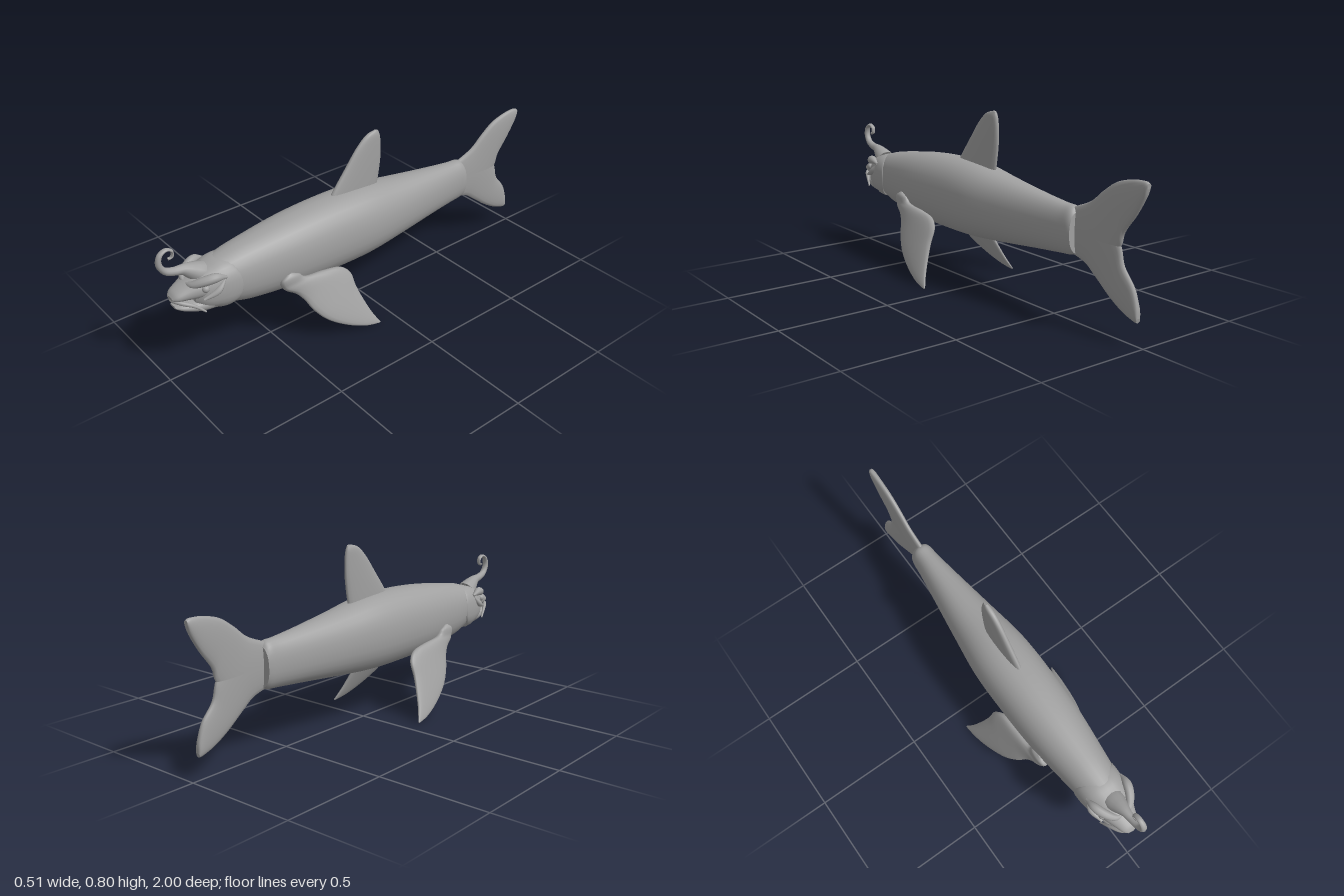
import * as THREE from 'three';

const V = (x, y, z) => new THREE.Vector3(x, y, z);

// Smooth closed skin over a row of rings; winding is turned outward by volume
function loft(rings) {
  const n = rings[0].length, pos = [], idx = [];
  rings.forEach(r => r.forEach(p => pos.push(p.x, p.y, p.z)));
  for (let i = 0; i < rings.length - 1; i++) {
    for (let j = 0; j < n; j++) {
      const a = i * n + j, b = i * n + (j + 1) % n;
      idx.push(a, b, a + n, b, b + n, a + n);
    }
  }
  [[rings[0], 0, true], [rings.at(-1), (rings.length - 1) * n, false]].forEach(([r, start, first]) => {
    const c = r.reduce((s, p) => s.add(p), V(0, 0, 0)).divideScalar(n);
    const base = pos.length / 3;
    r.forEach(p => pos.push(p.x, p.y, p.z));
    pos.push(c.x, c.y, c.z);
    for (let j = 0; j < n; j++) {
      const a = base + j, b = base + (j + 1) % n;
      if (first) idx.push(b, a, base + n); else idx.push(a, b, base + n);
    }
  });
  const at = i => V(pos[3 * i], pos[3 * i + 1], pos[3 * i + 2]);
  let volume = 0;
  for (let k = 0; k < idx.length; k += 3) volume += at(idx[k]).dot(at(idx[k + 1]).cross(at(idx[k + 2])));
  if (volume < 0) idx.reverse();
  const g = new THREE.BufferGeometry();
  g.setAttribute('position', new THREE.Float32BufferAttribute(pos, 3));
  g.setIndex(idx);
  g.computeVertexNormals();
  return g;
}

const soft = (v, p) => Math.sign(v) * Math.abs(v) ** p;

// Interpolates rows of numbers with a smooth curve
function smoothRows(rows, steps) {
  const out = [];
  for (let s = 0; s <= steps; s++) {
    const t = s / steps * (rows.length - 1), i = Math.min(Math.floor(t), rows.length - 2), f = t - i;
    out.push(rows[0].map((_, k) => {
      const p = d => rows[Math.max(0, Math.min(rows.length - 1, i + d))][k];
      const m0 = (p(1) - p(-1)) / 2, m1 = (p(2) - p(0)) / 2;
      return (2 * f ** 3 - 3 * f * f + 1) * p(0) + (f ** 3 - 2 * f * f + f) * m0
        + (3 * f * f - 2 * f ** 3) * p(1) + (f ** 3 - f * f) * m1;
    }));
  }
  return out;
}

// Rows along z: [z, top, bottom, half width]; lean shifts z around the ring
function trunk(rows, steps, power = 0.9, lean = () => 0) {
  return loft(smoothRows(rows, steps).map(([z, top, bottom, w]) => Array.from({ length: 28 }, (_, j) => {
    const a = j / 28 * Math.PI * 2, s = soft(Math.sin(a), power);
    return V(w * soft(Math.cos(a), power), (top + bottom) / 2 + s * (top - bottom) / 2, z + lean(z, s));
  })));
}

// Rows along the span: [lead z, lead y, trail z, trail y, half thickness]
function fin(rows, steps, xAt = () => 0, dir = V(1, 0, 0)) {
  return loft(smoothRows(rows, steps).map(([lz, ly, tz, ty, h]) => Array.from({ length: 20 }, (_, j) => {
    const a = j / 20 * Math.PI * 2, f = (1 - Math.cos(a)) / 2;
    const y = ly + (ty - ly) * f;
    return V(xAt(y), y, lz + (tz - lz) * f).addScaledVector(dir, h * soft(Math.sin(a), 0.75));
  })));
}

// Tube whose radius follows a list
function taper(points, radii, steps = 40) {
  const curve = new THREE.CatmullRomCurve3(points);
  const { normals, binormals } = curve.computeFrenetFrames(steps);
  const r = smoothRows(radii.map(v => [v]), steps);
  return loft(r.map(([radius], i) => Array.from({ length: 12 }, (_, j) => {
    const a = j / 12 * Math.PI * 2;
    return curve.getPoint(i / steps).addScaledVector(normals[i], radius * Math.cos(a))
      .addScaledVector(binormals[i], radius * Math.sin(a));
  })));
}

export function createModel() {
  const model = new THREE.Group();
  const skin = new THREE.MeshStandardMaterial({ color: 0xa0a0a0 });
  skin.name = 'grey skin';
  const add = (name, geometry) => {
    const mesh = new THREE.Mesh(geometry, skin);
    mesh.name = name;
    model.add(mesh);
    return mesh;
  };

  // Long tapering body
  add('body', trunk([
    [0.79, 0.488, 0.31, 0.07], [0.7, 0.512, 0.28, 0.095], [0.6, 0.53, 0.255, 0.109], [0.4, 0.555, 0.235, 0.13],
    [0.2, 0.566, 0.228, 0.137], [0, 0.56, 0.228, 0.134], [-0.2, 0.53, 0.243, 0.108],
    [-0.4, 0.503, 0.262, 0.079], [-0.55, 0.486, 0.275, 0.058], [-0.61, 0.482, 0.28, 0.052], [-0.632, 0.462, 0.29, 0.047],
  ], 60));

  // Head with a curved rear rim, snout and lower jaw
  add('head', trunk([
    [0.675, 0.485, 0.295, 0.097], [0.685, 0.5, 0.285, 0.102], [0.74, 0.5, 0.287, 0.101],
    [0.8, 0.487, 0.298, 0.09], [0.84, 0.47, 0.315, 0.075], [0.87, 0.445, 0.34, 0.05],
  ], 30, 0.8, (z, s) => z < 0.78 ? (s < 0 ? 0.06 : 0.025) * s * s * (0.78 - z) / 0.105 : 0));
  add('snout', trunk([
    [0.8, 0.475, 0.36, 0.085], [0.85, 0.465, 0.368, 0.075], [0.9, 0.443, 0.376, 0.056],
    [0.94, 0.423, 0.382, 0.04], [0.957, 0.405, 0.39, 0.022],
  ], 24));
  add('lowerJaw', trunk([
    [0.78, 0.39, 0.296, 0.08], [0.83, 0.375, 0.302, 0.072], [0.88, 0.366, 0.315, 0.06],
    [0.925, 0.364, 0.334, 0.042], [0.947, 0.358, 0.348, 0.022],
  ], 24));
  add('upperLip', taper([V(-0.078, 0.325, 0.845), V(-0.062, 0.36, 0.885), V(-0.035, 0.382, 0.932), V(0, 0.386, 0.951),
    V(0.035, 0.382, 0.932), V(0.062, 0.36, 0.885), V(0.078, 0.325, 0.845)], [0.004, 0.009, 0.008, 0.009, 0.004]));

  // Scowling brows and eyes
  for (const s of [-1, 1]) {
    const name = s > 0 ? 'left' : 'right';
    add(name + 'Brow', taper([V(0.09 * s, 0.455, 0.745), V(0.086 * s, 0.468, 0.79), V(0.068 * s, 0.46, 0.835),
      V(0.035 * s, 0.443, 0.875), V(0, 0.44, 0.885)], [0.006, 0.019, 0.02, 0.015, 0.008], 24));
    const eye = add(name + 'Eye', new THREE.SphereGeometry(0.016, 16, 12));
    eye.position.set(0.073 * s, 0.428, 0.835);
    add(name + 'Cheek', taper([V(0.088 * s, 0.45, 0.75), V(0.093 * s, 0.41, 0.79), V(0.08 * s, 0.385, 0.85)],
      [0.005, 0.014, 0.006], 16));
  }

  // Curled lure on the forehead
  add('lure', taper([V(0, 0.462, 0.815), V(0, 0.485, 0.85), V(0, 0.505, 0.885), V(0, 0.512, 0.925), V(0, 0.53, 0.965),
    V(0, 0.57, 0.986), V(0, 0.607, 0.976), V(0, 0.62, 0.948), V(0, 0.605, 0.925), V(0, 0.58, 0.928), V(0, 0.577, 0.944)],
  [0.046, 0.034, 0.021, 0.017, 0.015, 0.014, 0.012, 0.011, 0.009, 0.006], 60));

  // Back fin
  add('dorsalFin', fin([
    [0.17, 0.54, -0.1, 0.525, 0.02], [0.135, 0.59, -0.112, 0.59, 0.02], [0.075, 0.665, -0.121, 0.665, 0.019],
    [0.015, 0.74, -0.121, 0.73, 0.017], [-0.04, 0.788, -0.115, 0.775, 0.014], [-0.09, 0.803, -0.106, 0.798, 0.006],
  ], 24));

  // Forked tail of two overlapping lobes
  add('upperTailLobe', fin([
    [-0.6, 0.475, -0.6, 0.285, 0.018], [-0.7, 0.515, -0.78, 0.27, 0.018], [-0.77, 0.57, -0.863, 0.36, 0.018],
    [-0.84, 0.615, -0.885, 0.425, 0.018], [-0.92, 0.637, -0.94, 0.5, 0.017],
    [-0.98, 0.641, -0.985, 0.575, 0.015], [-1, 0.634, -0.998, 0.612, 0.01],
  ], 30));
  add('lowerTailLobe', fin([
    [-0.6, 0.285, -0.6, 0.475, 0.018], [-0.68, 0.262, -0.78, 0.47, 0.018], [-0.74, 0.22, -0.862, 0.385, 0.018],
    [-0.82, 0.16, -0.888, 0.3, 0.018], [-0.89, 0.119, -0.943, 0.23, 0.017],
    [-0.95, 0.098, -0.968, 0.16, 0.015], [-0.968, 0.096, -0.972, 0.115, 0.01],
  ], 30));

  // Side fins sloping out and down
  const rows = [
    [0.482, 0.36, 0.458, 0.364, 0.01], [0.511, 0.335, 0.42, 0.345, 0.024], [0.498, 0.295, 0.39, 0.318, 0.027],
    [0.45, 0.262, 0.3, 0.306, 0.026], [0.42, 0.225, 0.21, 0.29, 0.024], [0.39, 0.17, 0.164, 0.25, 0.021],
    [0.335, 0.11, 0.155, 0.19, 0.018], [0.25, 0.056, 0.138, 0.13, 0.014], [0.16, 0.018, 0.112, 0.06, 0.009],
    [0.088, 0.003, 0.083, 0.008, 0.003],
  ];
  for (const s of [-1, 1]) {
    add(s > 0 ? 'leftSideFin' : 'rightSideFin',
      fin(rows, 45, y => s * Math.max(0.118, 0.125 + (0.29 - y) * 0.45), V(0.91 * s, 0.41, 0)));
  }
  return model;
}
